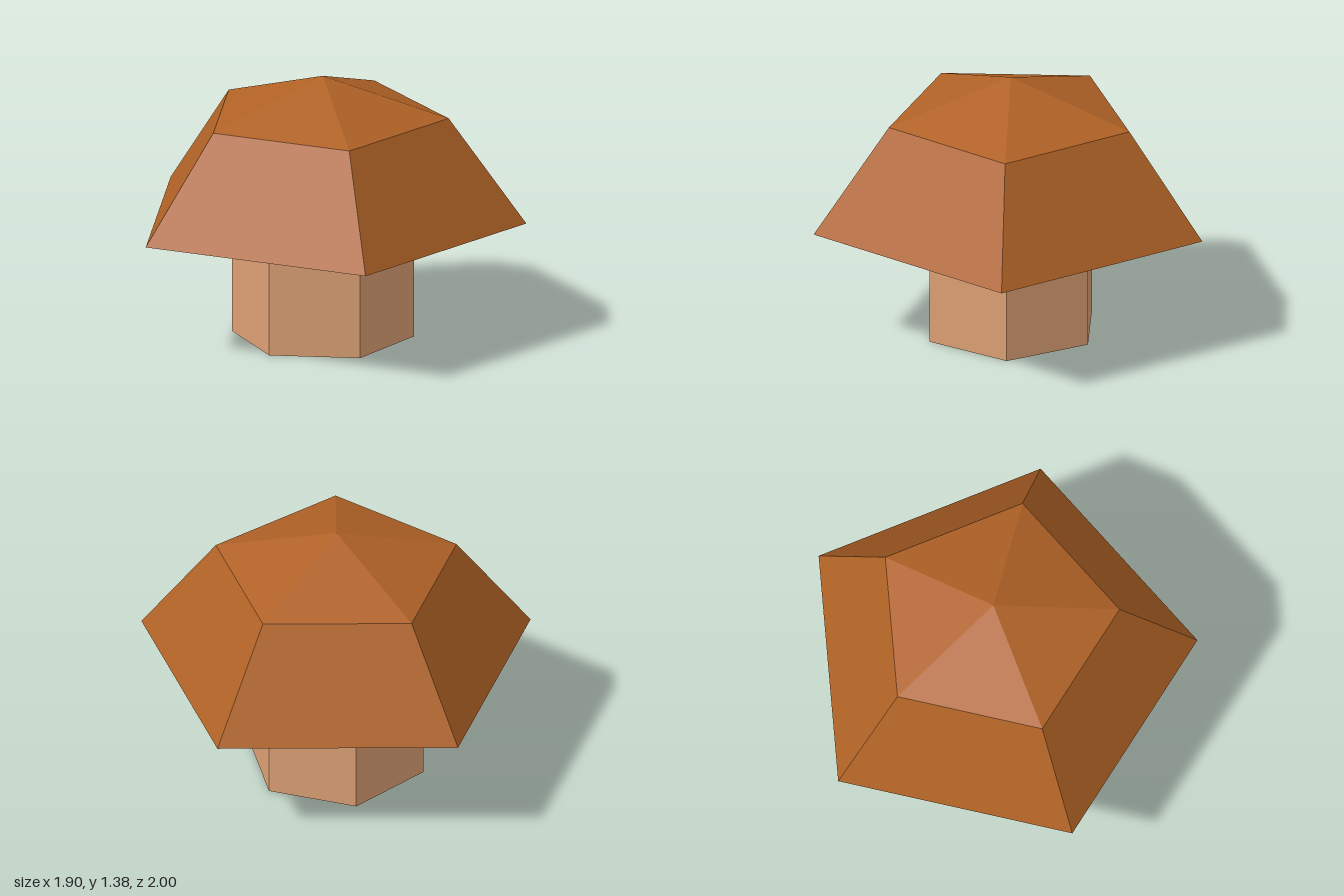
import * as THREE from 'three';

export function createModel() {
  const model = new THREE.Group();
  model.name = 'mushroom';

  const makeMaterial = (name, color) => {
    const material = new THREE.MeshStandardMaterial({ color, flatShading: true, side: THREE.DoubleSide });
    material.name = name;
    return material;
  };

  // Both parts are thin open shells turned around one axis, with a corner on +x
  const addShell = (name, profile, sides, material) => {
    const points = profile.map(([r, y]) => new THREE.Vector2(r, y));
    const geometry = new THREE.LatheGeometry(points, sides).rotateY(Math.PI / 2);
    const mesh = new THREE.Mesh(geometry, material);
    mesh.name = name;
    mesh.position.x = -0.1;
    model.add(mesh);
  };

  // Six-sided stem reaching up into the hollow cap
  addShell('stem', [[0.47, 0], [0.47, 0.83]], 6, makeMaterial('pale tan', 0xdca074));

  // Five-sided cap: steep skirt, then a shallow peak
  addShell('cap', [[1.051, 0.625], [0.65, 1.177], [0, 1.385]], 5, makeMaterial('chestnut brown', 0xb06226));

  return model;
}
